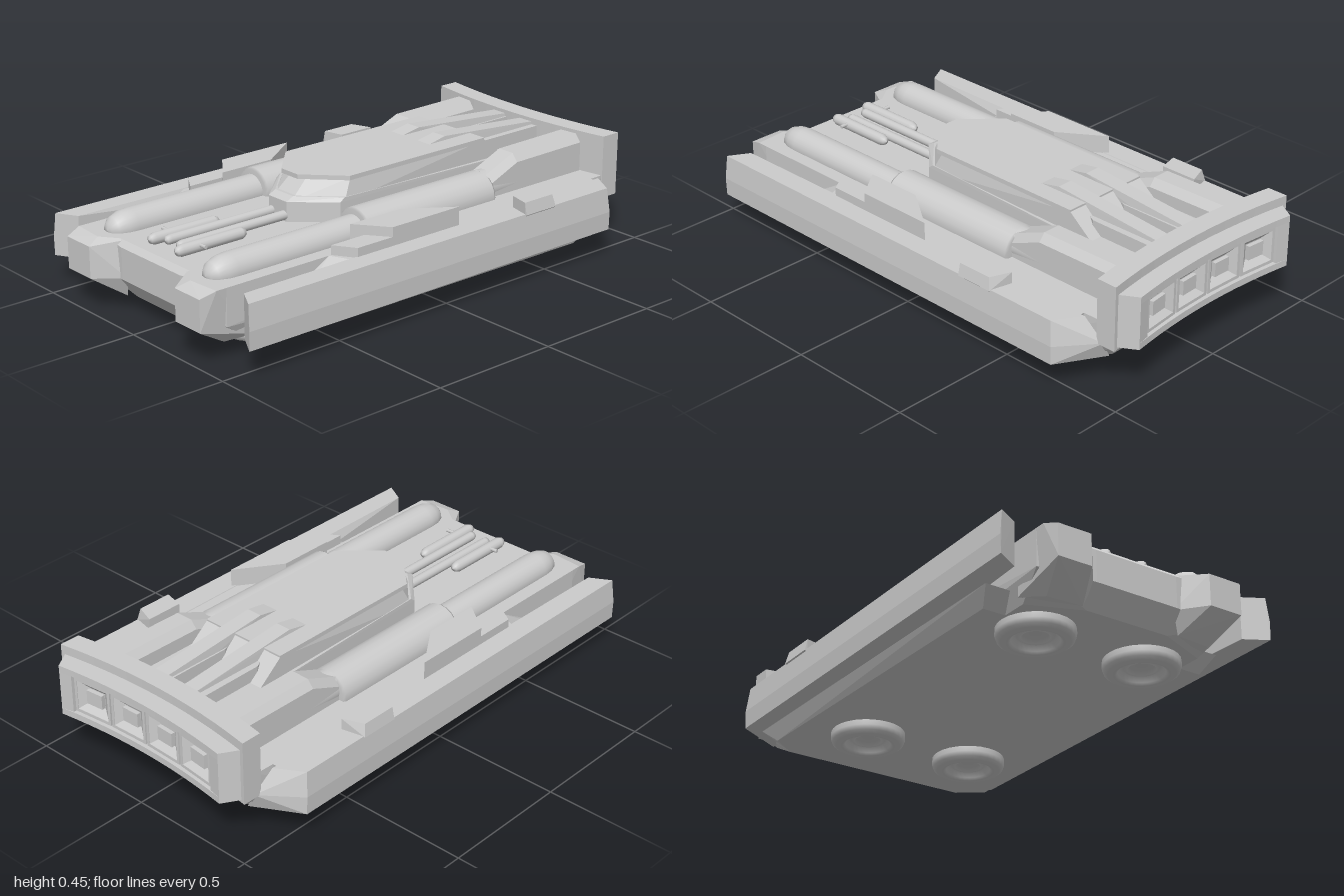
import * as THREE from 'three';
import { ConvexGeometry } from 'three/addons/geometries/ConvexGeometry.js';

const flat = new THREE.MeshStandardMaterial({ color: 0xcccccc, flatShading: true, side: THREE.DoubleSide });
const smooth = new THREE.MeshStandardMaterial({ color: 0xcccccc, side: THREE.DoubleSide });

export function createModel() {
  const root = new THREE.Group();
  root.name = 'hoverCraft';

  const add = (name, geometry, material = flat, parent = root) => {
    const mesh = new THREE.Mesh(geometry, material);
    mesh.name = name;
    parent.add(mesh);
    return mesh;
  };
  // Faceted solid around [x, y, z] corners
  const solid = (name, pts) => add(name, new ConvexGeometry(pts.map(p => new THREE.Vector3(...p))));
  // One solid on each side of the craft
  const pair = (name, pts) => {
    solid(name + 'Right', pts);
    solid(name + 'Left', pts.map(([x, y, z]) => [x, y, -z]));
  };
  // One solid spanning the centre line
  const centred = (name, pts) => solid(name, pts.flatMap(([x, y, z]) => [[x, y, z], [x, y, -z]]));
  // Plan outline [x, z] raised between two heights
  const prism = (outline, y0, y1) => outline.flatMap(([x, z]) => [[x, y0, z], [x, y1, z]]);
  // Round part along x from [x, radius] pairs
  const turned = (name, profile, y, z, sides = 24) => {
    const g = new THREE.LatheGeometry(profile.map(([x, r]) => new THREE.Vector2(r, x)), sides);
    g.rotateZ(-Math.PI / 2);
    return add(name, g, sides > 8 ? smooth : flat).position.set(0, y, z);
  };
  // Bar bowed along z, ends swept backwards
  const bow = z => 0.035 * (z / 0.42) ** 2;
  const bowedBar = (name, x0, x1, y0, y1, z0, z1) => {
    const g = new THREE.BoxGeometry(x1 - x0, y1 - y0, z1 - z0, 1, 1, 12);
    g.translate((x0 + x1) / 2, (y0 + y1) / 2, (z0 + z1) / 2);
    const p = g.attributes.position;
    for (let i = 0; i < p.count; i++) p.setX(i, p.getX(i) + bow(p.getZ(i)));
    g.computeVertexNormals();
    return add(name, g);
  };

  // Main hull: centre body, wide midsection and bevelled tail
  centred('centreHull', [
    [-0.92, 0.25, 0.17], [-0.9, 0.27, 0.4], [-0.92, 0.13, 0.17], [-0.86, 0.05, 0.17], [-0.78, 0.05, 0.37],
    [-0.9, 0.13, 0.4], [0.83, 0.27, 0.4], [0.83, 0.13, 0.38], [0.75, 0.05, 0.38]]);
  centred('wideHull', [
    [-0.74, 0.11, 0.49], [-0.66, 0.11, 0.4], [-0.68, 0.05, 0.46], [-0.6, 0.05, 0.38], [-0.42, 0.27, 0.49],
    [-0.46, 0.27, 0.4], [0.8, 0.27, 0.48], [0.76, 0.11, 0.5], [0.68, 0.05, 0.475], [0.75, 0.05, 0.38]]);
  centred('tailHull', [
    [0.6, 0.27, 0.45], [0.88, 0.27, 0.44], [0.92, 0.18, 0.43], [0.87, 0.11, 0.375], [0.88, 0.155, 0.18],
    [0.6, 0.11, 0.45], [0.75, 0.05, 0.38], [0.6, 0.05, 0.4]]);

  // Split nose
  pair('noseProng', [
    [-1, 0.25, 0.25], [-1, 0.25, 0.385], [-0.95, 0.27, 0.27], [-0.94, 0.27, 0.4], [-1, 0.13, 0.25], [-1, 0.13, 0.385],
    [-0.88, 0.27, 0.175], [-0.8, 0.27, 0.4], [-0.88, 0.05, 0.2], [-0.87, 0.05, 0.34], [-0.78, 0.07, 0.39], [-0.9, 0.13, 0.17]]);

  // Side skirts with swept rear corners
  pair('sideSkirt', [
    [-0.94, 0.18, 0.57], [-0.935, 0.273, 0.56], [-0.89, 0.273, 0.48], [-0.94, 0.11, 0.568], [-0.89, 0.11, 0.48],
    [0.76, 0.273, 0.56], [0.77, 0.18, 0.57], [0.77, 0.11, 0.568], [0.82, 0.273, 0.46], [0.87, 0.11, 0.39], [0.88, 0.18, 0.43]]);

  // Raised blocks on the skirts and midsection
  pair('rearDeckBlock', [
    ...prism([[0.35, 0.475], [0.5, 0.475], [0.47, 0.555], [0.33, 0.555]], 0.26, 0.316), [0.48, 0.27, 0.565], [0.33, 0.27, 0.565]]);
  pair('frontDeckBlock', prism([[-0.45, 0.4], [-0.4, 0.48], [-0.2, 0.48], [-0.15, 0.4]], 0.25, 0.306));
  pair('midDeckBlock', [
    ...prism([[-0.33, 0.36], [-0.24, 0.48], [0.075, 0.48], [-0.1, 0.4], [-0.1, 0.36]], 0.26, 0.342)]);

  // Long side cylinders and the pods feeding the tail
  for (const [side, z] of [['Right', 0.285], ['Left', -0.285]]) {
    turned('cylinderNose' + side, [[-0.9, 0], [-0.895, 0.025], [-0.875, 0.045], [-0.84, 0.058], [-0.8, 0.062], [-0.24, 0.062]], 0.275, z);
    turned('cylinderSleeve' + side, [[-0.25, 0], [-0.25, 0.08], [-0.24, 0.086], [0.36, 0.086], [0.37, 0.08], [0.37, 0]], 0.275, z, 20);
    turned('cylinderTail' + side, [[0.36, 0.062], [0.84, 0.056]], 0.3, z);
  }
  const podSection = (x, top) => [[x, 0.26, 0.225], [x, 0.26, 0.345], [x, top - 0.03, 0.225],
    [x, top - 0.03, 0.345], [x, top, 0.25], [x, top, 0.32]];
  pair('tailPod', [...podSection(0.36, 0.35), ...podSection(0.5, 0.408), ...podSection(0.84, 0.412)]);

  // Cabin with overhanging roof plate
  centred('cabinBase', [
    ...prism([[-0.36, 0.05], [-0.22, 0.18], [0.83, 0.2]], 0.25, 0.345), [-0.33, 0.36, 0.05], [-0.2, 0.36, 0.18]]);
  centred('cabin', [
    [-0.34, 0.34, 0.05], [-0.2, 0.34, 0.18], [-0.25, 0.422, 0.04], [-0.16, 0.422, 0.165],
    [0.49, 0.428, 0.18], [0.6, 0.34, 0.18]]);
  centred('roofPlate', [
    ...prism([[-0.305, 0.045], [-0.175, 0.18], [0.49, 0.18]], 0.418, 0.435)]);
  centred('rearDeck', prism([[0.5, 0.2], [0.84, 0.2]], 0.26, 0.35));

  // Tapered fins and ducts behind the cabin
  pair('roofFin', [
    [0.28, 0.42, 0.04], [0.28, 0.42, 0.105], [0.28, 0.435, 0.04], [0.28, 0.435, 0.105], [0.36, 0.45, 0.04], [0.36, 0.45, 0.102],
    [0.84, 0.41, 0.04], [0.84, 0.41, 0.102], [0.84, 0.34, 0.03], [0.84, 0.34, 0.11]]);
  pair('roofDuct', [
    ...prism([[0.5, 0.105], [0.55, 0.13], [0.84, 0.13], [0.84, 0.03], [0.55, 0.03], [0.5, 0.045]], 0.33, 0.4)]);

  // Slim twin barrels in front of the cabin
  for (const s of [1, -1]) {
    const side = s > 0 ? 'Right' : 'Left';
    turned('outerBarrel' + side, [[-0.87, 0], [-0.863, 0.015], [-0.845, 0.022], [-0.59, 0.022], [-0.572, 0.014], [-0.565, 0]], 0.292, 0.077 * s, 14);
    turned('innerBarrel' + side, [[-0.83, 0], [-0.825, 0.014], [-0.81, 0.018], [-0.33, 0.018]], 0.292, 0.035 * s, 14);
    const pin = add('barrelPin' + side, new THREE.CylinderGeometry(0.007, 0.007, 0.06, 8), smooth);
    pin.rotation.x = Math.PI / 2;
    pin.position.set(-0.775, 0.3, 0.095 * s);
  }

  // Bowed tail plate and thruster housing
  bowedBar('tailPlate', 0.82, 0.9, 0.18, 0.425, -0.445, 0.445);
  bowedBar('thrusterBack', 0.88, 0.935, 0.2, 0.385, -0.39, 0.39);
  bowedBar('housingTop', 0.88, 0.97, 0.365, 0.39, -0.39, 0.39);
  bowedBar('housingBottom', 0.88, 0.97, 0.19, 0.215, -0.39, 0.39);
  pair('housingEnd', prism([[0.9, 0.34], [0.99, 0.34], [1, 0.39], [0.935, 0.43], [0.9, 0.43]], 0.19, 0.39));

  // Four rectangular thrusters, each a sloped funnel round a centre block
  const rect = (shape, w, h) => shape.moveTo(-w, -h).lineTo(w, -h).lineTo(w, h).lineTo(-w, h).closePath();
  for (let i = 0; i < 4; i++) {
    const z = (i - 1.5) * 0.171;
    const thruster = new THREE.Group();
    thruster.name = 'thruster' + (i + 1);
    thruster.position.set(0.935 + bow(z), 0.29, z);
    thruster.rotation.y = Math.PI / 2 + Math.atan(0.07 * z / 0.1764);
    root.add(thruster);
    const rim = rect(new THREE.Shape(), 0.081, 0.07);
    rim.holes.push(rect(new THREE.Path(), 0.07, 0.058));
    add('thrusterRim', new THREE.ExtrudeGeometry(rim, { depth: 0.026, bevelEnabled: false }), flat, thruster);
    const funnel = new THREE.CylinderGeometry(1, 0.52, 0.024, 4, 1, true);
    funnel.rotateY(Math.PI / 4).rotateX(Math.PI / 2).scale(0.099, 0.082, 1);
    add('thrusterFunnel', funnel, flat, thruster).position.z = 0.012;
    add('thrusterCore', new THREE.BoxGeometry(0.07, 0.054, 0.02), flat, thruster).position.z = 0.006;
  }

  // Hover pads with concentric rings underneath
  const padProfile = [[0, 0.035], [0.045, 0.035], [0.05, 0.02], [0.06, 0.02], [0.065, 0.03], [0.078, 0.03],
    [0.084, 0.008], [0.095, 0], [0.12, 0.002], [0.134, 0.012], [0.14, 0.03], [0.138, 0.06]];
  for (const x of [-0.65, 0.43]) for (const z of [-0.226, 0.226]) {
    const pad = add('hoverPad', new THREE.LatheGeometry(padProfile.map(p => new THREE.Vector2(...p)), 28), smooth);
    pad.position.set(x, 0, z);
  }
  return root;
}
